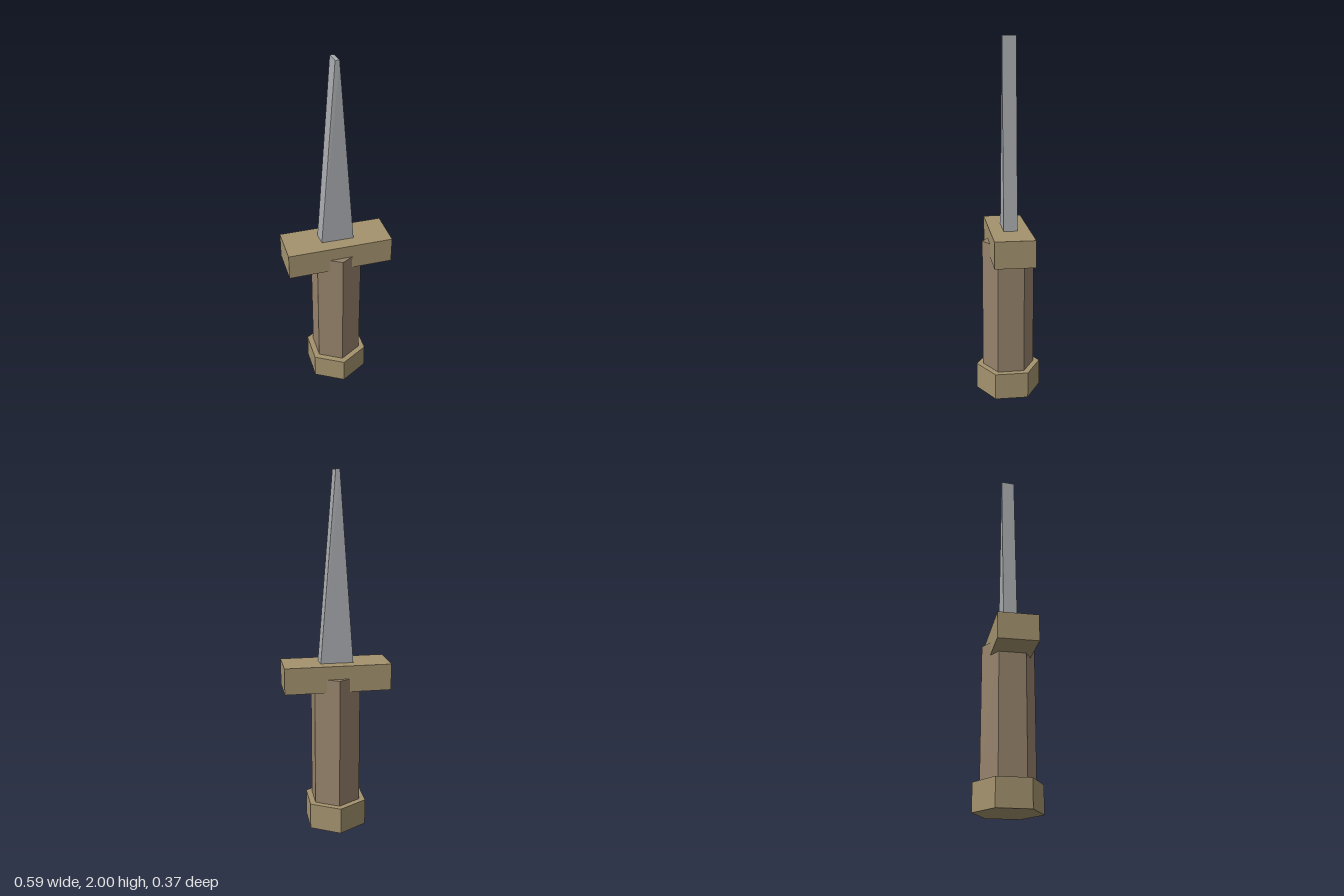
import * as THREE from 'three';

const BRASS = 0xa3926e, LEATHER = 0x95826b, STEEL = 0xa9abae;

function part(name, geometry, color, y = 0) {
  const material = new THREE.MeshStandardMaterial({ color, flatShading: true });
  const mesh = new THREE.Mesh(geometry, material);
  mesh.name = name;
  mesh.position.y = y;
  return mesh;
}

// Six-sided prism with corners pointing to the front and back
function hexPrism(name, radius, bottom, top, color) {
  const geometry = new THREE.CylinderGeometry(radius, radius, top - bottom, 6);
  return part(name, geometry, color, (bottom + top) / 2);
}

// Box tapered to a narrow, slightly off-centre tip, with a slight skew
function bladeGeometry(bottom, top) {
  const geometry = new THREE.BoxGeometry(2, 2, 2);
  const pos = geometry.attributes.position;
  for (let i = 0; i < pos.count; i++) {
    const sx = pos.getX(i), sz = pos.getZ(i), tip = pos.getY(i) > 0;
    pos.setXYZ(
      i,
      sx * (tip ? 0.011 : 0.0915) + sz * 0.0025 - (tip ? 0.004 : 0.001),
      tip ? top : bottom,
      sz * 0.0385 + sx * 0.001 - (tip ? 0.005 : 0.003)
    );
  }
  geometry.computeVertexNormals();
  return geometry;
}

export function createModel() {
  const dagger = new THREE.Group();
  dagger.name = 'dagger';
  dagger.add(
    hexPrism('pommel', 0.184, 0, 0.15, BRASS),
    hexPrism('grip', 0.147, 0.15, 0.89, LEATHER),
    part('crossguard', new THREE.BoxGeometry(0.592, 0.148, 0.22), BRASS, 0.89),
    part('blade', bladeGeometry(0.96, 2), STEEL)
  );
  return dagger;
}
